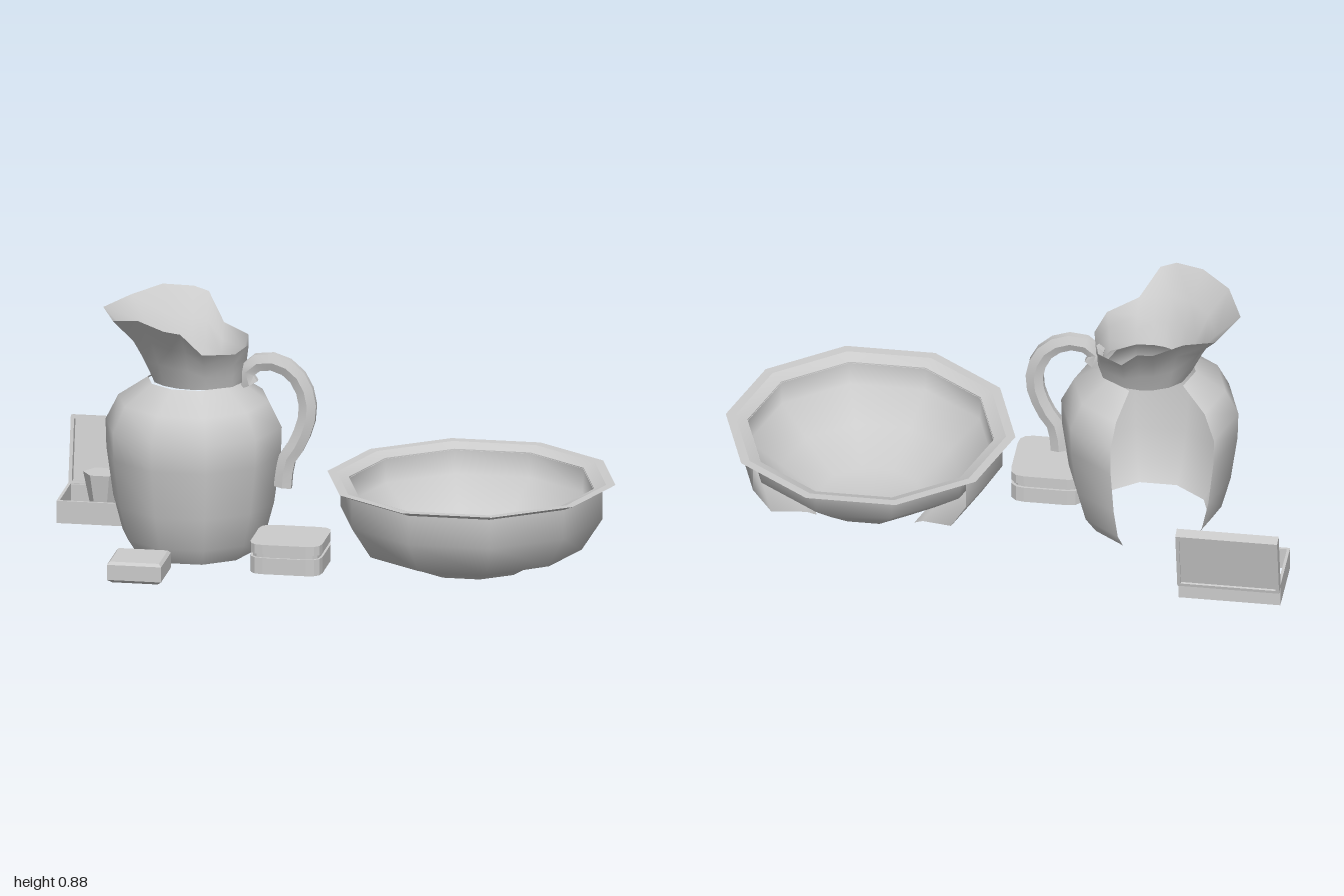
import * as THREE from 'three';
import { toCreasedNormals } from 'three/addons/utils/BufferGeometryUtils.js';

const DEG = Math.PI / 180;
const smooth = new THREE.MeshStandardMaterial({ color: 0xcccccc });
const thin = new THREE.MeshStandardMaterial({ color: 0xcccccc, side: THREE.DoubleSide });
const faceted = new THREE.MeshStandardMaterial({ color: 0xcccccc, flatShading: true });

function add(parent, name, geometry, material = smooth, x = 0, y = 0, z = 0) {
  const mesh = new THREE.Mesh(geometry, material);
  mesh.name = name;
  mesh.position.set(x, y, z);
  parent.add(mesh);
  return mesh;
}

// Ten-sided lathe; fewer segments leave the hidden back open
function lathe(points, segments = 10) {
  const profile = points.map(([r, y]) => new THREE.Vector2(r, y));
  return new THREE.LatheGeometry(profile, segments, 234 * DEG, segments * 36 * DEG);
}

// Rectangle with rounded corners
function plate(w, d, c) {
  const s = new THREE.Shape(), x = w / 2, y = d / 2;
  s.moveTo(-x + c, -y);
  s.lineTo(x - c, -y);
  if (c) s.quadraticCurveTo(x, -y, x, -y + c);
  s.lineTo(x, y - c);
  if (c) s.quadraticCurveTo(x, y, x - c, y);
  s.lineTo(-x + c, y);
  if (c) s.quadraticCurveTo(-x, y, -x, y - c);
  s.lineTo(-x, -y + c);
  if (c) s.quadraticCurveTo(-x, -y, -x + c, -y);
  return s;
}

// Extruded plate standing on y = 0, hollow when a wall thickness is given
function slab(w, d, h, c = 0, wall = 0) {
  const s = plate(w, d, c);
  if (wall) s.holes.push(plate(w - 2 * wall, d - 2 * wall, Math.max(0, c - wall)));
  const g = new THREE.ExtrudeGeometry(s, { depth: h, bevelEnabled: false, curveSegments: 3 });
  return g.rotateX(-Math.PI / 2);
}

// Flared lip with a raised spout, lofted from neck ring to rim
function lipGeometry() {
  const half = [ // angle on the neck, then rim x, y, z
    [0, 0.175, 0.75, 0], [36, 0.15, 0.75, 0.13], [72, 0.05, 0.765, 0.215],
    [92, -0.015, 0.855, 0.28], [108, -0.07, 0.867, 0.295], [128, -0.17, 0.885, 0.24],
    [150, -0.27, 0.86, 0.17], [180, -0.335, 0.86, 0],
  ];
  const ring = [...half, ...half.slice(1, -1).reverse().map(([a, x, y, z]) => [-a, x, y, -z])];
  const n = ring.length, pos = [], index = [];
  for (const [t, ty] of [[0, 0], [0.22, 0.32], [0.5, 0.65], [1, 1]]) {
    for (const [a, x, y, z] of ring) {
      const nx = 0.164 * Math.cos(a * DEG), nz = 0.144 * Math.sin(a * DEG);
      pos.push(nx + (x - nx) * t, 0.62 + (y - 0.62) * ty, nz + (z - nz) * t);
    }
  }
  for (let r = 0; r < 3; r++) {
    for (let i = 0; i < n; i++) {
      const a = r * n + i, b = r * n + (i + 1) % n;
      index.push(a, a + n, b, b, a + n, b + n);
    }
  }
  const g = new THREE.BufferGeometry();
  g.setAttribute('position', new THREE.Float32BufferAttribute(pos, 3));
  g.setIndex(index);
  g.computeVertexNormals();
  return g;
}

function createBowl() {
  const bowl = new THREE.Group();
  bowl.name = 'washBowl';
  bowl.position.set(0.495, 0, 0.017);
  add(bowl, 'bowlOuterWall', lathe([[0.21, 0], [0.25, 0.025], [0.387, 0.068], [0.459, 0.18], [0.459, 0.287]], 7), thin);
  const rim = lathe([[0.428, 0.284], [0.46, 0.285], [0.505, 0.305], [0.472, 0.304], [0.43, 0.288]]);
  add(bowl, 'bowlRim', toCreasedNormals(rim, 0.3), thin);
  add(bowl, 'bowlInside', lathe([[0.43, 0.288], [0.426, 0.2], [0.31, 0.11], [0.18, 0.015], [0, 0.015]]), thin);
  return bowl;
}

function createPitcher() {
  const pitcher = new THREE.Group();
  pitcher.name = 'pitcher';
  const body = [[0.21, 0.01], [0.25, 0.07], [0.282, 0.19], [0.306, 0.36], [0.309, 0.46], [0.264, 0.55], [0.16, 0.62]];
  add(pitcher, 'pitcherBody', lathe(body, 8), thin, -0.475, 0, 0.04);
  add(pitcher, 'pitcherLip', lipGeometry(), thin, -0.457, 0, 0.04);

  // Handle: a curled six-sided bar
  const path = [
    [-0.275, 0.612], [-0.292, 0.645], [-0.268, 0.683], [-0.2, 0.698], [-0.125, 0.665],
    [-0.08, 0.59], [-0.074, 0.51], [-0.108, 0.41], [-0.148, 0.345], [-0.16, 0.25],
  ].map(([x, y]) => new THREE.Vector3(x, y, 0));
  const curve = new THREE.CatmullRomCurve3(path);
  const handle = toCreasedNormals(new THREE.TubeGeometry(curve, 13, 0.035, 6), 0.7);
  add(pitcher, 'pitcherHandle', handle, thin, 0, 0, 0.05).scale.z = 0.68;
  return pitcher;
}

function createOpenCase() {
  const box = new THREE.Group();
  box.name = 'openCase';
  add(box, 'caseWalls', slab(0.355, 0.24, 0.08, 0, 0.01), smooth, -0.8225, 0.005, -0.325);
  const stopper = new THREE.CylinderGeometry(0.067, 0.04, 0.13, 6).rotateY(Math.PI / 2);
  add(box, 'caseStopper', stopper, faceted, -0.862, 0.095, -0.33).scale.z = 0.9;

  // Raised lid: a frame around a panel set in from both faces
  const lid = new THREE.Group();
  lid.name = 'caseLid';
  lid.position.set(-0.8225, 0.193, -0.479);
  lid.rotation.x = -12 * DEG;
  const frame = slab(0.355, 0.24, 0.04, 0, 0.012).rotateX(Math.PI / 2);
  add(lid, 'lidFrame', frame, smooth, 0, 0, -0.02);
  add(lid, 'lidPanel', new THREE.BoxGeometry(0.335, 0.22, 0.004), smooth, 0, 0, -0.01);
  box.add(lid);
  return box;
}

function createRoundedBox() {
  const box = new THREE.Group();
  box.name = 'roundedBox';
  box.position.set(-0.108, 0, 0.19);
  add(box, 'boxBase', slab(0.252, 0.257, 0.058, 0.05, 0.02), smooth, 0, 0.01, 0);
  add(box, 'boxSeam', slab(0.236, 0.241, 0.016, 0.045, 0.02), smooth, 0, 0.068, 0);
  add(box, 'boxLid', slab(0.252, 0.257, 0.033, 0.05), smooth, 0, 0.082, 0);
  return box;
}

// Small block with chamfered edges
function blockGeometry() {
  const profile = [[0, 0.01], [0.08, 0.01], [0.095, 0.022], [0.095, 0.076], [0.086, 0.086], [0, 0.086]]
    .map(([r, y]) => new THREE.Vector2(r * Math.SQRT2, y));
  return toCreasedNormals(new THREE.LatheGeometry(profile, 4, Math.PI / 4), 0.2);
}

export function createModel() {
  const model = new THREE.Group();
  model.name = 'washSet';
  model.add(createBowl(), createPitcher(), createOpenCase(), createRoundedBox());
  add(model, 'soapBlock', blockGeometry(), smooth, -0.597, 0, 0.43);
  return model;
}
